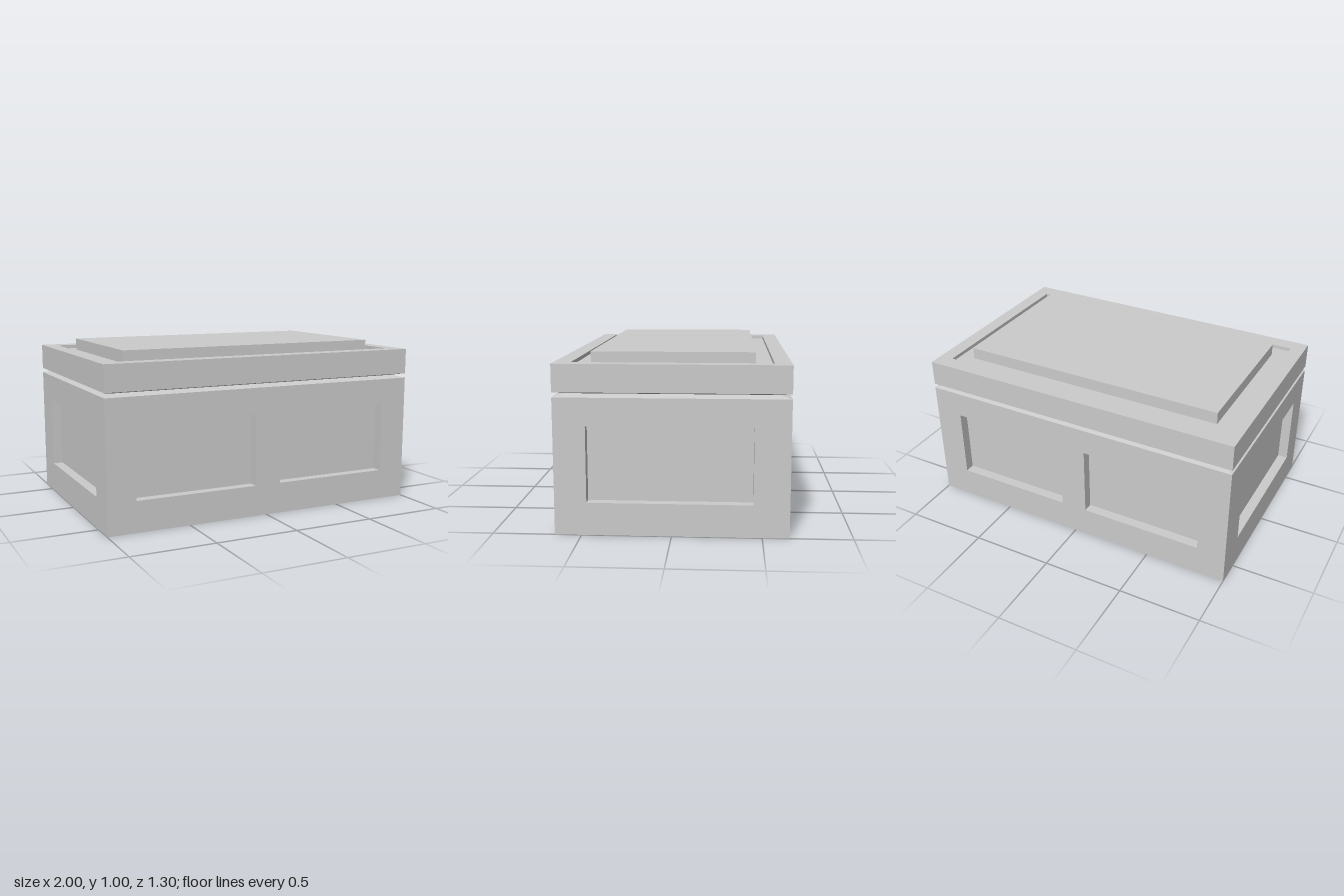
import * as THREE from 'three';
import { mergeGeometries } from 'three/addons/utils/BufferGeometryUtils.js';

const W = 1, D = 0.65;                       // half width and half depth
const BODY_TOP = 0.772, SEAM = 0.787, LID_BOTTOM = 0.8, LID_TOP = 0.955;

const material = new THREE.MeshStandardMaterial({ color: 0xcccccc, flatShading: true });

function part(name, geometry) {
  const mesh = new THREE.Mesh(geometry, material);
  mesh.name = name;
  return mesh;
}

function rectangle(Type, [x0, y0, x1, y1]) {
  return new Type([[x0, y0], [x1, y0], [x1, y1], [x0, y1]].map(p => new THREE.Vector2(...p)));
}

// Flat face towards +z with rectangular pockets sunk into it
function recessedFace(outline, pockets, depth) {
  const shape = rectangle(THREE.Shape, outline);
  shape.holes = pockets.map(p => rectangle(THREE.Path, p));
  const pieces = [new THREE.ShapeGeometry(shape)];
  for (const [x0, y0, x1, y1] of pockets) {
    // a box turned inside out, without its front
    const box = new THREE.BoxGeometry(x1 - x0, y1 - y0, depth);
    const index = Array.from(box.index.array);
    index.splice(24, 6);
    box.setIndex(index.reverse());
    box.translate((x0 + x1) / 2, (y0 + y1) / 2, -depth / 2);
    box.computeVertexNormals();
    pieces.push(box);
  }
  return mergeGeometries(pieces);
}

// Rectangular bands stacked along a profile of [inset, height] pairs
function rectangularBands(profile) {
  const positions = [];
  const corners = [[1, 1], [1, -1], [-1, -1], [-1, 1]];
  const point = (k, [inset, y]) => {
    const [sx, sz] = corners[k % 4];
    return [sx * (W - inset), y, sz * (D - inset)];
  };
  for (let i = 0; i < profile.length - 1; i++) {
    for (let k = 0; k < 4; k++) {
      const a = point(k, profile[i]), b = point(k + 1, profile[i]);
      const c = point(k + 1, profile[i + 1]), d = point(k, profile[i + 1]);
      positions.push(...a, ...b, ...c, ...a, ...c, ...d);
    }
  }
  const geometry = new THREE.BufferGeometry();
  geometry.setAttribute('position', new THREE.Float32BufferAttribute(positions, 3));
  geometry.computeVertexNormals();
  return geometry;
}

export function createModel() {
  const group = new THREE.Group();
  group.name = 'chest';

  // Body walls: two sunken panels on the long sides, one on each short side
  const longPanels = [[-0.825, 0.185, -0.075, 0.615], [0.09, 0.185, 0.825, 0.615]];
  const endPanels = [[-0.45, 0.185, 0.47, 0.615]];
  const mirrored = list => list.map(([x0, y0, x1, y1]) => [-x1, y0, -x0, y1]);
  const walls = [
    ['frontWall', W, longPanels, 0, D],
    ['backWall', W, mirrored(longPanels), Math.PI, D],
    ['leftWall', D, mirrored(endPanels), Math.PI / 2, W],
    ['rightWall', D, endPanels, -Math.PI / 2, W],
  ];
  for (const [name, half, panels, angle, distance] of walls) {
    const wall = recessedFace([-half, 0, half, BODY_TOP], panels, 0.06);
    group.add(part(name, wall.translate(0, 0, distance).rotateY(angle)));
  }
  group.add(part('bottom', new THREE.PlaneGeometry(2 * W, 2 * D).rotateX(Math.PI / 2)));

  // V-shaped seam between body and lid, then the lid's sides
  group.add(part('seam', rectangularBands([[0, BODY_TOP], [0.06, SEAM], [0, LID_BOTTOM]])));
  group.add(part('lidSides', rectangularBands([[0, LID_BOTTOM], [0, LID_TOP]])));

  // Lid top with a shallow tray and a raised slab
  const tray = recessedFace([-W, -D, W, D], [[-0.915, -0.555, 0.915, 0.555]], 0.022);
  group.add(part('lidTop', tray.rotateX(-Math.PI / 2).translate(0, LID_TOP, 0)));
  const slab = new THREE.BoxGeometry(1.645, 0.072, 0.915);
  group.add(part('lidSlab', slab.translate(0, 0.969, 0.0025)));

  return group;
}
